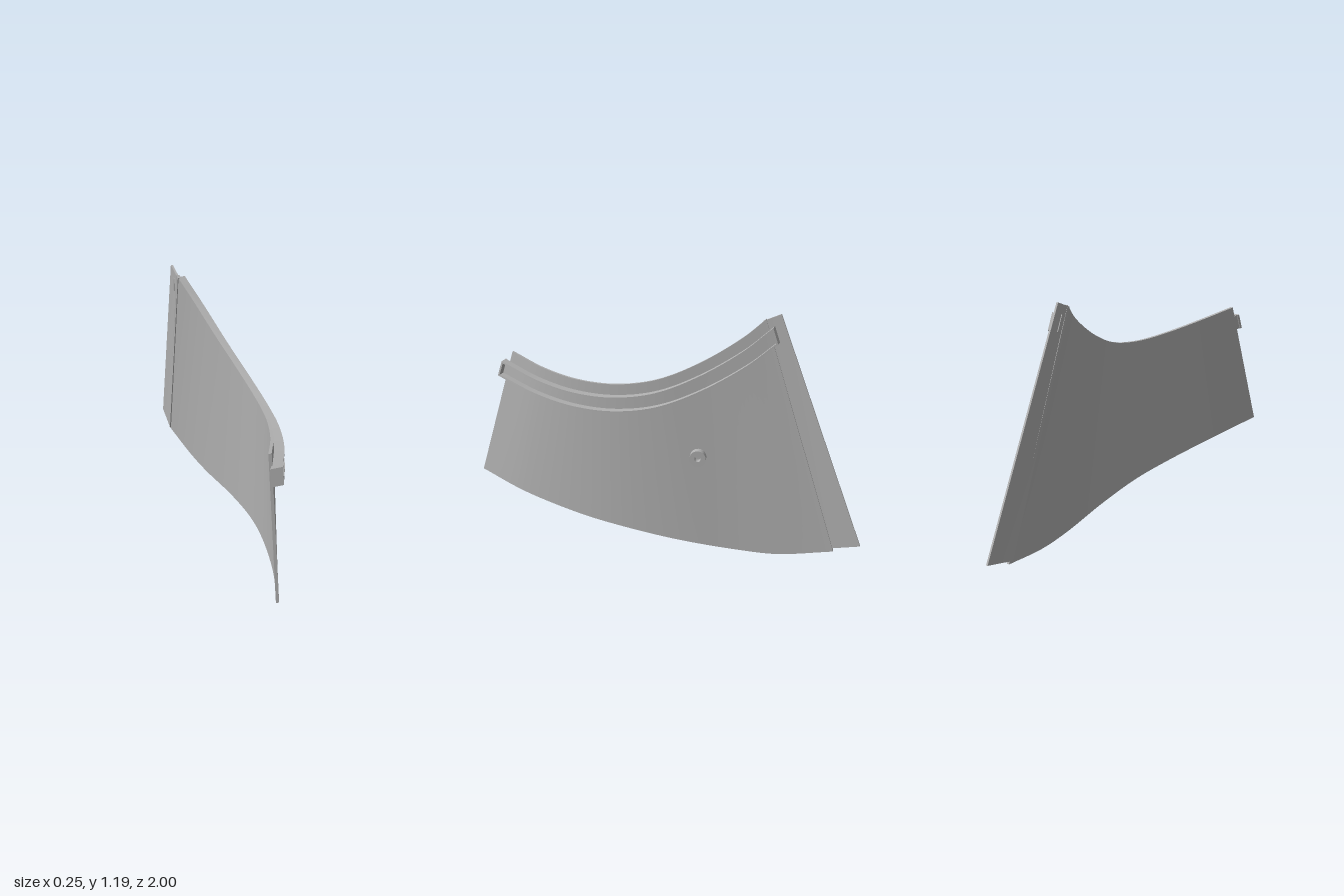
import * as THREE from 'three';

const V = (x, y, z) => new THREE.Vector3(x, y, z);
const curve = pts => new THREE.CatmullRomCurve3(pts.map(p => V(...p)));

// Upper and lower edges of the outer skin, running front to back
const topEdge = curve([[-0.085, 0.925, 0.8], [0, 0.872, 0.6], [0.053, 0.84, 0.4], [0.07, 0.836, 0.2],
  [0.058, 0.87, 0], [0.015, 0.955, -0.2], [-0.045, 1.08, -0.4], [-0.09, 1.165, -0.5]]);
const bottomEdge = curve([[-0.112, 0.27, 1], [-0.02, 0.2, 0.73], [0.05, 0.135, 0.4], [0.07, 0.1, 0.18],
  [0.06, 0.055, -0.1], [0.02, 0.016, -0.4], [-0.005, 0.004, -0.6], [-0.048, 0.03, -0.87]]);

// Point on an edge, continued straight past its ends
function along(edge, u) {
  const c = Math.min(1, Math.max(0, u));
  const p = edge.getPointAt(c);
  return c === u ? p : p.addScaledVector(edge.getTangentAt(c), (u - c) * edge.getLength());
}

// Point on the outer skin, a given height below the top edge
function skin(u, drop) {
  const a = along(topEdge, u), b = along(bottomEdge, u);
  return a.clone().lerp(b, drop / (a.y - b.y));
}

// Solid through matching rings (counter-clockwise seen from the front), sharp along its edges
function loft(rings) {
  const pos = [], idx = [], n = rings[0].length;
  const add = p => pos.push(p.x, p.y, p.z) / 3 - 1;
  for (let i = 0; i < n; i++) {
    const start = pos.length / 3;
    rings.forEach(r => { add(r[i]); add(r[(i + 1) % n]); });
    for (let k = 0; k < rings.length - 1; k++) {
      const a = start + 2 * k, b = a + 1, d = a + 2, c = a + 3;
      idx.push(a, c, b, a, d, c);
    }
  }
  const front = rings[0].map(add), back = rings[rings.length - 1].map(add);
  for (let i = 1; i < n - 1; i++) {
    idx.push(front[0], front[i], front[i + 1], back[0], back[i + 1], back[i]);
  }
  const g = new THREE.BufferGeometry();
  g.setAttribute('position', new THREE.Float32BufferAttribute(pos, 3));
  g.setIndex(idx);
  g.computeVertexNormals();
  return g;
}

function sweep(u0, u1, steps, ring) {
  return loft(Array.from({ length: steps + 1 }, (_, k) => ring(u0 + (u1 - u0) * k / steps)));
}

// Strip standing on the skin between two drops and two outward offsets
const strip = (d0, d1, inner, outer) => u => {
  const a = skin(u, d0), b = skin(u, d1);
  return [V(a.x + outer, a.y, a.z), V(a.x + inner, a.y, a.z), V(b.x + inner, b.y, b.z), V(b.x + outer, b.y, b.z)];
};

export function createModel() {
  const group = new THREE.Group();
  const grey = new THREE.MeshStandardMaterial({ color: 0xb0b0b0 });
  grey.name = 'plain grey';
  const part = (name, geometry) => {
    const m = new THREE.Mesh(geometry, grey);
    m.name = name;
    group.add(m);
    return m;
  };

  // Curved main panel
  part('panel', sweep(0, 1, 64, u => {
    const t = along(topEdge, u), b = along(bottomEdge, u), w = 0.015;
    return [t, V(t.x - w, t.y, t.z), V(b.x - w, b.y, b.z), b];
  }));

  // Channel rail under the top edge
  const r0 = -0.02, r1 = 1.02;
  part('railUpperFlange', sweep(r0, r1, 64, strip(0.053, 0.061, -0.004, 0.05)));
  part('railLowerFlange', sweep(r0, r1, 64, strip(0.122, 0.13, -0.004, 0.05)));
  part('railWeb', sweep(r0, r1, 64, strip(0.055, 0.128, -0.006, 0.004)));
  part('railFrontCap', sweep(r0 - 0.003, r0 + 0.004, 1, strip(0.053, 0.13, -0.01, 0.05)));
  part('railRearCap', sweep(r1 - 0.004, r1 + 0.003, 1, strip(0.053, 0.13, -0.01, 0.05)));

  // Thin overlap lip along the rear edge, set inward from the skin
  const lipRing = (t, b) => [V(t[0], t[1], t[2]), V(t[0] - 0.01, t[1], t[2]),
    V(b[0] - 0.01, b[1], b[2]), V(b[0], b[1], b[2])];
  part('rearLip', loft([
    lipRing([-0.092, 1.155, -0.485], [-0.056, 0.04, -0.845]),
    lipRing([-0.102, 1.19, -0.57], [-0.051, 0.07, -1]),
  ]));

  // Hollow round boss on the outer face
  const profile = [[0.015, 0], [0.015, 0.042], [0.015, 0.042], [0.04, 0.042], [0.04, 0.042], [0.04, 0]];
  const boss = part('boss', new THREE.LatheGeometry(
    profile.map(p => new THREE.Vector2(...p)).reverse(), 32));
  boss.geometry = bossGeometry();
  boss.quaternion.setFromUnitVectors(V(0, 1, 0), V(1, 0, -0.15).normalize());
  boss.position.set(0.04, 0.493, -0.205);
  return group;
}

// Ring with a through hole, standing along y
function bossGeometry() {
  const s = new THREE.Shape().absarc(0, 0, 0.04, 0, Math.PI * 2);
  s.holes.push(new THREE.Path().absarc(0, 0, 0.015, 0, Math.PI * 2, true));
  return new THREE.ExtrudeGeometry(s, { depth: 0.042, bevelEnabled: false, curveSegments: 24 }).rotateX(-Math.PI / 2);
}
